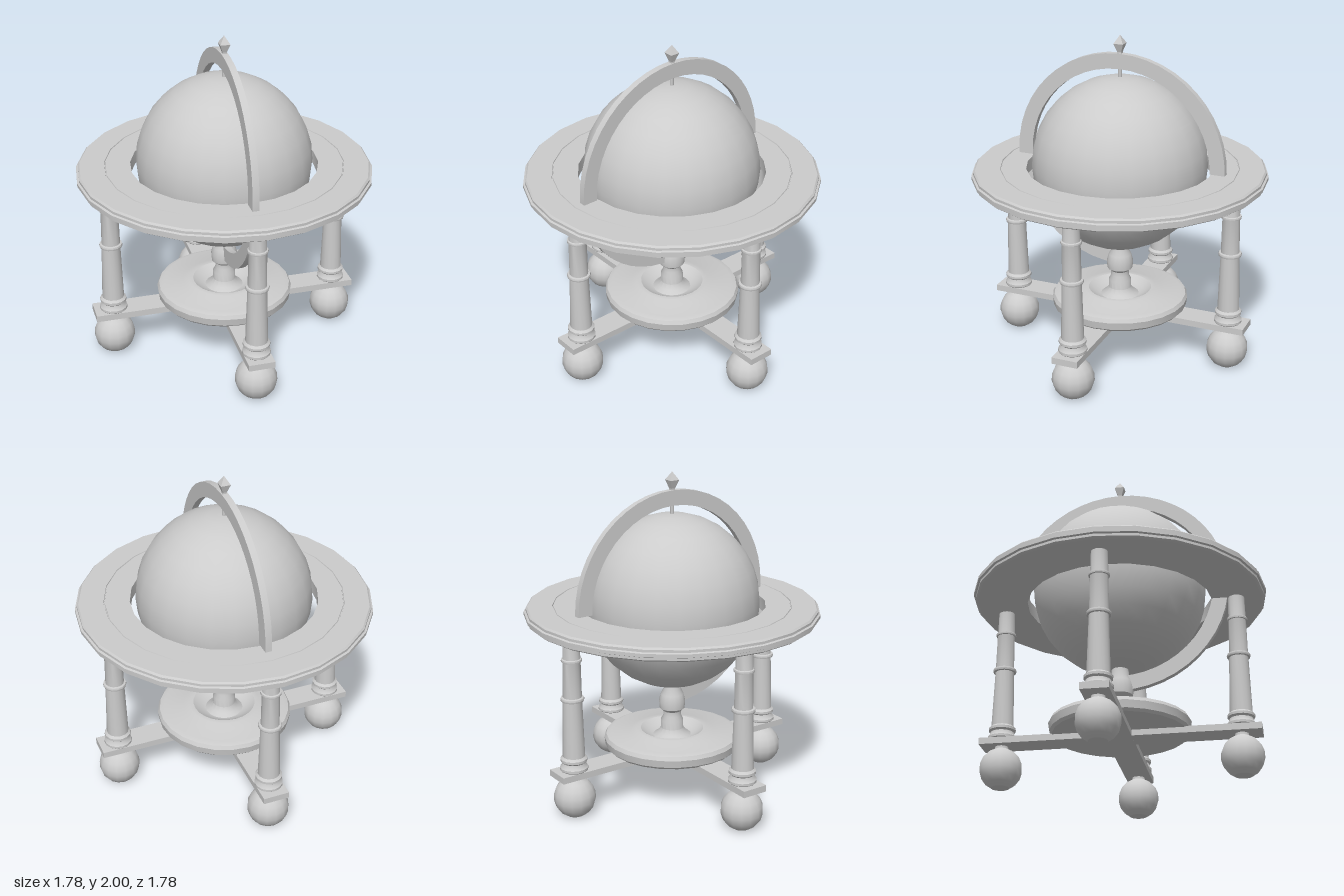
import * as THREE from 'three';
import { toCreasedNormals } from 'three/addons/utils/BufferGeometryUtils.js';

const material = new THREE.MeshStandardMaterial({ color: 0xcccccc });

function part(name, geometry, parent, x = 0, y = 0, z = 0) {
  const mesh = new THREE.Mesh(geometry, material);
  mesh.name = name;
  mesh.position.set(x, y, z);
  parent.add(mesh);
  return mesh;
}

// Turned shape from [radius, height] pairs, listed upwards along the outside
function turned(points, segments) {
  const profile = points.map(([r, y]) => new THREE.Vector2(r, y));
  return toCreasedNormals(new THREE.LatheGeometry(profile, segments), 0.6);
}

export function createModel() {
  const model = new THREE.Group();
  model.name = 'globeOnStand';
  const centreY = 1.22;

  // Globe with its pole pin
  part('globe', new THREE.SphereGeometry(0.53, 24, 16), model, 0, centreY);
  part('polePin', new THREE.CylinderGeometry(0.012, 0.012, 0.1, 8), model, 0, 1.77);

  // Meridian arc: from the pedestal, round the front and top, to the back of the horizon ring
  const arc = new THREE.Shape();
  arc.absarc(0, 0, 0.667, -Math.PI / 2, Math.PI, false);
  arc.absarc(0, 0, 0.575, Math.PI, -Math.PI / 2, true);
  arc.closePath();
  const arcGeometry = new THREE.ExtrudeGeometry(arc, { depth: 0.04, bevelEnabled: false, curveSegments: 18 });
  arcGeometry.translate(0, 0, -0.02);
  arcGeometry.rotateY(-Math.PI / 2);
  part('meridianArc', toCreasedNormals(arcGeometry, 0.6), model, 0, centreY + 0.005);

  // Four-sided finial
  const finial = new THREE.LatheGeometry(
    [[0, 1.88], [0.018, 1.88], [0.018, 1.9], [0.042, 1.95], [0, 2]].map(([r, y]) => new THREE.Vector2(r, y)), 4);
  finial.rotateY(Math.PI / 4);
  part('finial', toCreasedNormals(finial, 0.3), model);

  // Horizon ring with moulded edge and a fine groove on top
  part('horizonRing', turned([
    [0.565, 1.12], [0.865, 1.12], [0.88, 1.13], [0.88, 1.145], [0.892, 1.15], [0.892, 1.17],
    [0.88, 1.175], [0.88, 1.19], [0.87, 1.2], [0.722, 1.2], [0.72, 1.194], [0.716, 1.194],
    [0.714, 1.2], [0.565, 1.2], [0.565, 1.12],
  ], 24), model);

  // Crossed planks
  part('crossPlankSide', new THREE.BoxGeometry(1.66, 0.04, 0.16), model, 0, 0.27);
  part('crossPlankFront', new THREE.BoxGeometry(0.16, 0.039, 1.66), model, 0, 0.27);

  // Dished tray
  part('tray', turned([
    [0, 0.285], [0.4, 0.285], [0.415, 0.3], [0.422, 0.345], [0.41, 0.368], [0.38, 0.378],
    [0.26, 0.38], [0.225, 0.397], [0.195, 0.397], [0.15, 0.365], [0.11, 0.35], [0, 0.35],
  ], 24), model);

  // Central pedestal
  part('pedestal', turned([
    [0.13, 0.345], [0.09, 0.37], [0.07, 0.4], [0.07, 0.45], [0.055, 0.48], [0.055, 0.51],
    [0.078, 0.53], [0.082, 0.575], [0.07, 0.62], [0.055, 0.65], [0.05, 0.71], [0, 0.71],
  ], 16), model);

  // Turned legs on ball feet, one at each plank end
  const legGeometry = turned([
    [0.075, 0.285], [0.085, 0.295], [0.085, 0.31], [0.075, 0.322], [0.07, 0.34], [0.081, 0.35],
    [0.081, 0.365], [0.067, 0.378], [0.057, 0.725], [0.068, 0.727], [0.071, 0.737], [0.068, 0.747],
    [0.056, 0.75], [0.053, 0.965], [0.06, 0.967], [0.062, 0.975], [0.06, 0.983], [0.052, 0.986],
    [0.049, 1.125],
  ], 14);
  const ballProfile = [[0, 0]];
  const startAngle = -Math.asin(0.115 / 0.127);
  for (let i = 0; i <= 8; i++) {
    const a = startAngle + (Math.PI / 2 - startAngle) * i / 8;
    ballProfile.push([Math.max(0, 0.127 * Math.cos(a)), 0.115 + 0.127 * Math.sin(a)]);
  }
  // Short neck reaching the plank
  ballProfile.splice(-1, 1, [0.04, 0.245], [0.04, 0.26]);
  const footGeometry = turned(ballProfile, 14);
  for (let i = 0; i < 4; i++) {
    const a = i * Math.PI / 2;
    const leg = new THREE.Group();
    leg.name = ['frontLeg', 'leftLeg', 'backLeg', 'rightLeg'][i];
    leg.position.set(0.71 * Math.sin(a), 0, 0.71 * Math.cos(a));
    part('legColumn', legGeometry, leg);
    part('ballFoot', footGeometry, leg);
    model.add(leg);
  }

  return model;
}
